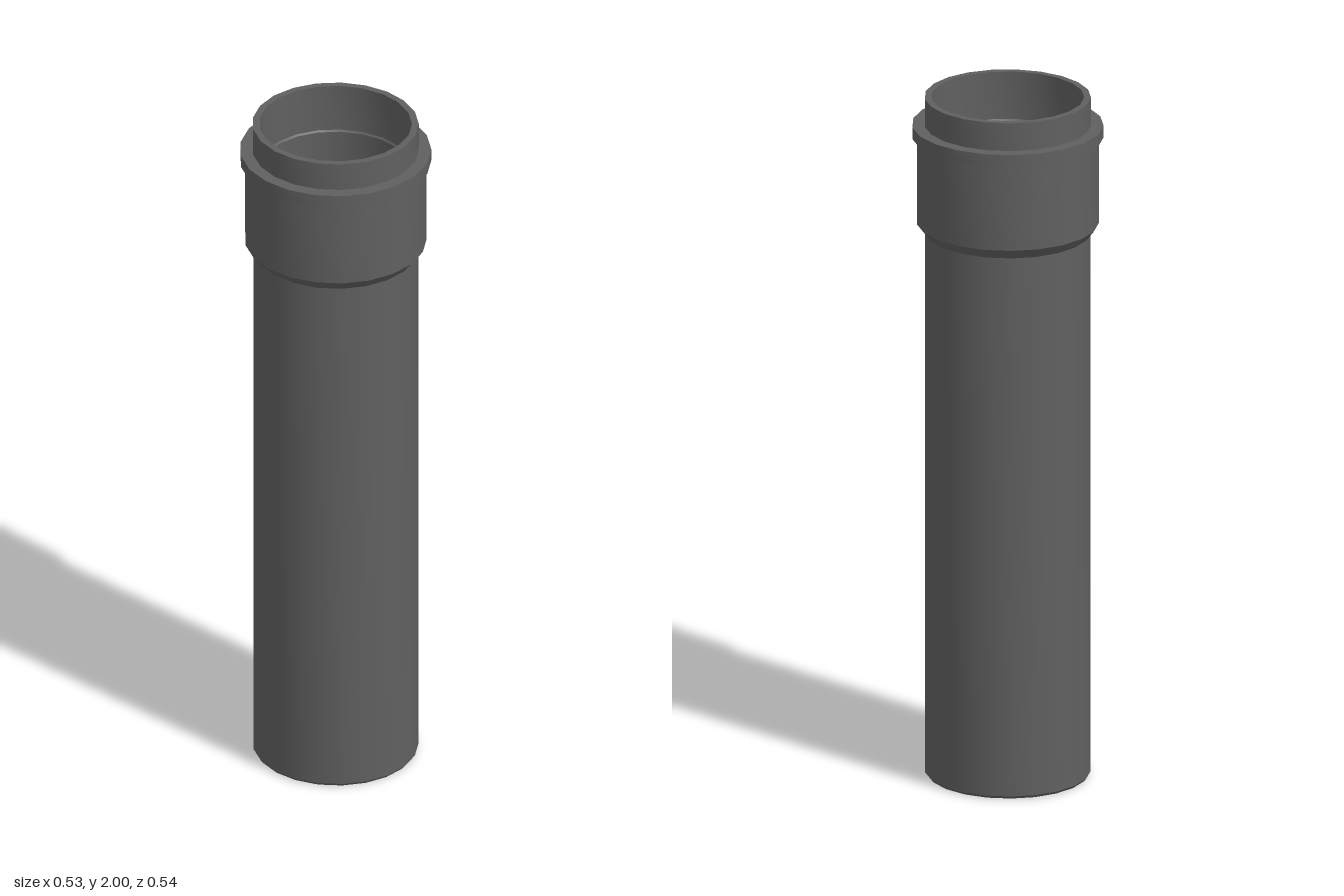
import * as THREE from 'three';
import { toCreasedNormals } from 'three/addons/utils/BufferGeometryUtils.js';

const SIDES = 21;

// Turn a closed [radius, height] outline into a hollow ring; smooth around, sharp at profile corners
function turned(name, outline, material) {
  const points = outline.map(([r, y]) => new THREE.Vector2(r, y));
  const geometry = new THREE.LatheGeometry(points, SIDES);
  const mesh = new THREE.Mesh(toCreasedNormals(geometry, Math.PI / 7), material);
  mesh.name = name;
  return mesh;
}

export function createModel() {
  const group = new THREE.Group();
  group.name = 'socketPipe';
  const material = new THREE.MeshStandardMaterial({ color: 0x606060 });

  const pipe = turned('pipe', [
    // outside, going up: bevelled foot and straight tube
    [0.209, 0], [0.225, 0], [0.231, 0.008], [0.231, 1.6],
    // widened socket with sloped shoulder
    [0.254, 1.63], [0.254, 1.883],
    // projecting lip
    [0.267, 1.883], [0.267, 1.918], [0.232, 1.918],
    // collar rim
    [0.232, 2], [0.213, 2],
    // bore, going down past a small inner step
    [0.213, 1.86], [0.209, 1.855], [0.209, 0],
  ], material);

  // slightly oval section, centred on its odd-sided outline
  pipe.scale.z = 1.012;
  pipe.position.z = -0.0015;
  group.add(pipe);
  return group;
}
